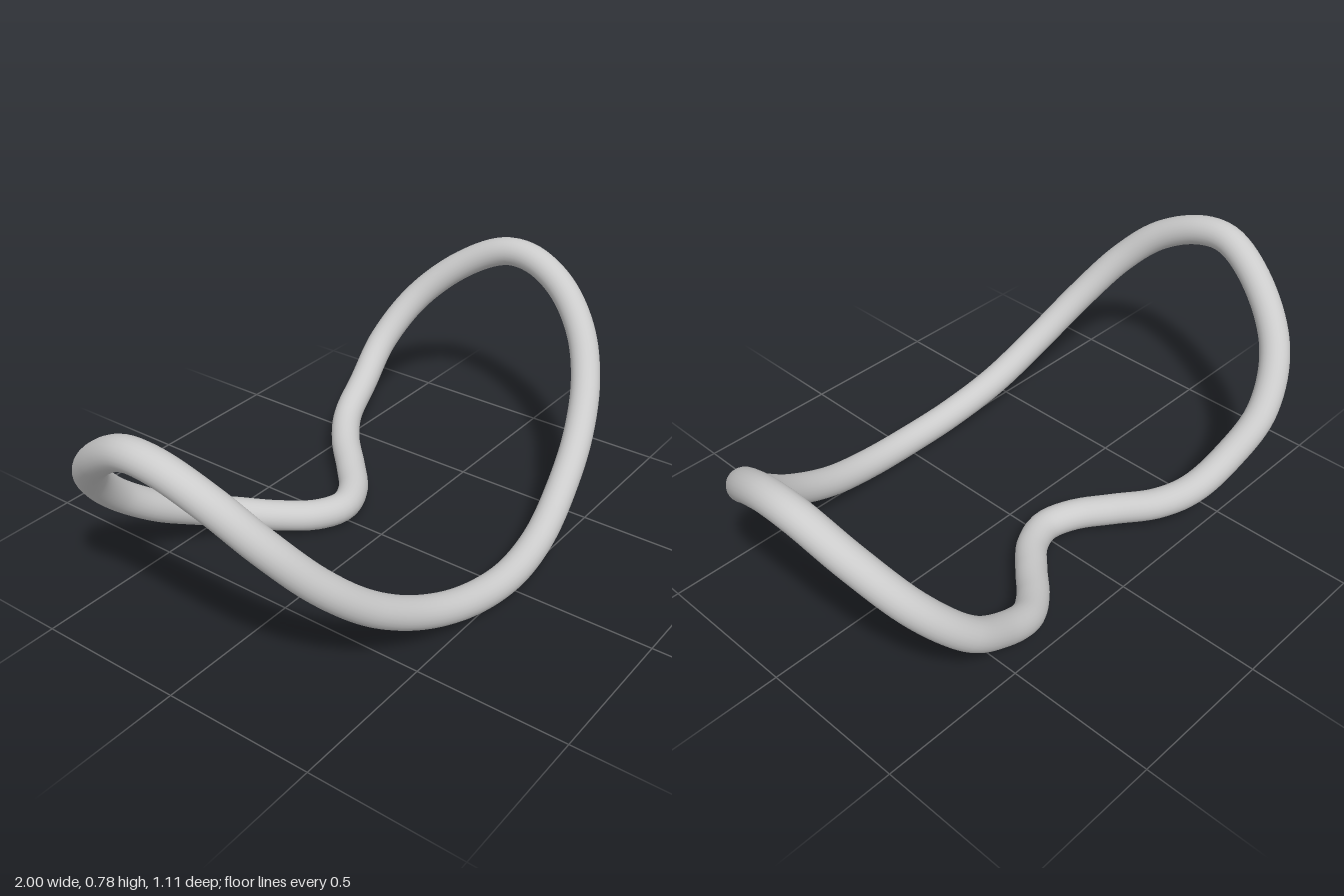
import * as THREE from 'three';

// Height of the tube's centre line: a circular arc rising toward both sides
function arcHeight(x) {
  const r = x > 0 ? 1.02 : 1.005;
  return 0.053 + r - Math.sqrt(r * r - x * x);
}

export function createModel() {
  const group = new THREE.Group();
  group.name = 'bentLoop';

  // Outline of the loop seen from above, as [x, z]
  const outline = [
    [0, 0.5], [0.2, 0.485], [0.4, 0.447], [0.6, 0.397], [0.75, 0.332],
    [0.85, 0.245], [0.915, 0.12], [0.943, -0.02], [0.943, -0.14],
    [0.905, -0.3], [0.82, -0.44], [0.69, -0.502], [0.54, -0.485], [0.4, -0.452],
    [0.3, -0.385], [0.2, -0.285], [0.1, -0.197],
    [0, -0.163],
    [-0.1, -0.197], [-0.2, -0.285], [-0.3, -0.39], [-0.4, -0.452], [-0.54, -0.487],
    [-0.69, -0.504], [-0.82, -0.445], [-0.905, -0.31], [-0.948, -0.14],
    [-0.948, -0.02], [-0.92, 0.14], [-0.86, 0.26], [-0.75, 0.355],
    [-0.6, 0.417], [-0.4, 0.457], [-0.2, 0.487],
  ];
  const points = outline.map(([x, z]) => new THREE.Vector3(x, arcHeight(x), z));
  const path = new THREE.CatmullRomCurve3(points, true, 'centripetal');

  // Closed round tube following the path
  const tube = new THREE.Mesh(
    new THREE.TubeGeometry(path, 240, 0.051, 24, true),
    new THREE.MeshStandardMaterial({ color: 0xcccccc }),
  );
  tube.name = 'loopTube';
  group.add(tube);
  return group;
}
